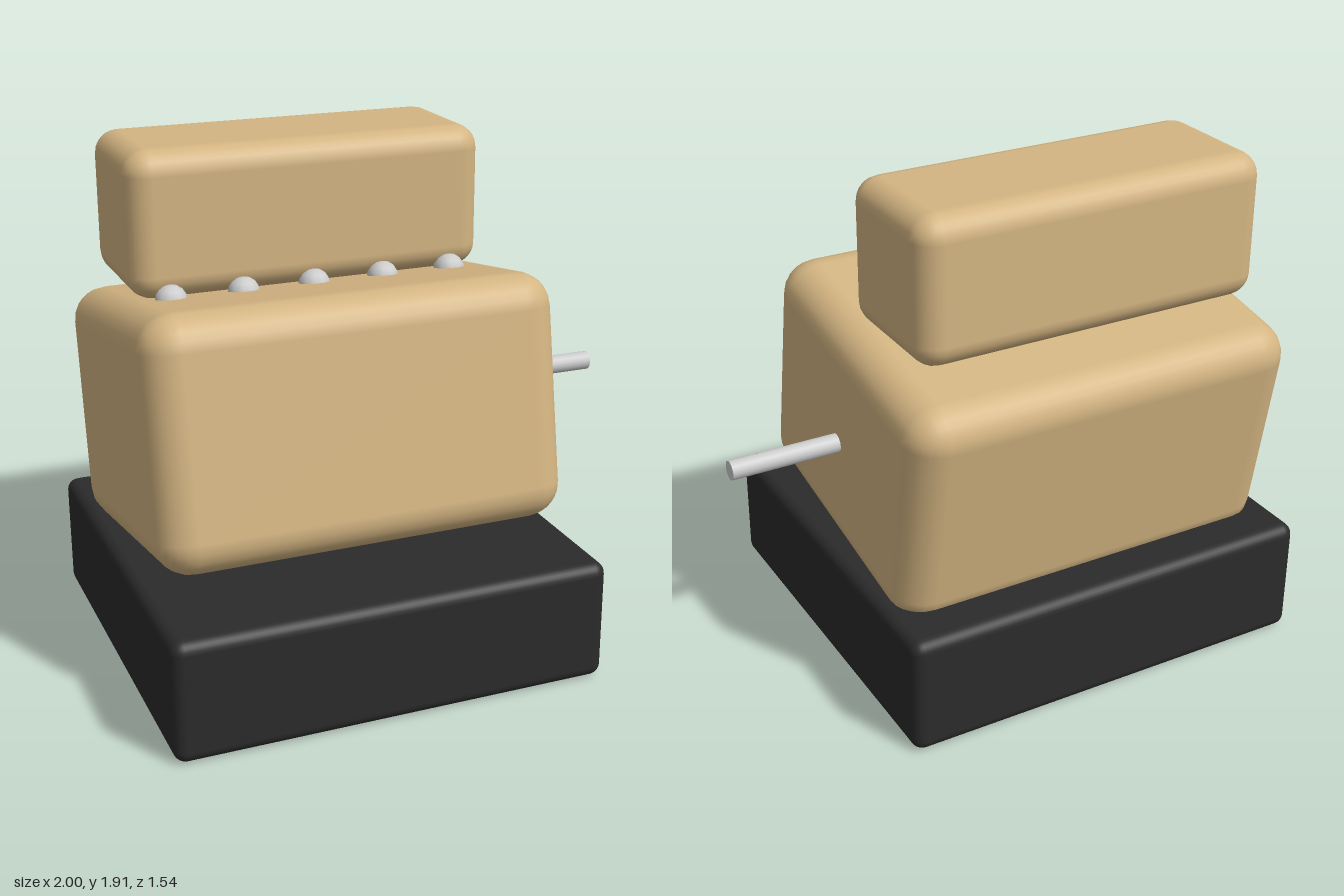
import * as THREE from 'three';
import { RoundedBoxGeometry } from 'three/addons/geometries/RoundedBoxGeometry.js';

function material(name, color) {
  const m = new THREE.MeshStandardMaterial({ color });
  m.name = name;
  return m;
}

export function createModel() {
  const group = new THREE.Group();
  const tan = material('tan', 0xd4b582);
  const black = material('black', 0x2b2b2b);
  const metal = material('light metal', 0xcccccc);
  const centreX = -0.183;

  function add(name, geometry, mat, x, y, z) {
    const mesh = new THREE.Mesh(geometry, mat);
    mesh.name = name;
    mesh.position.set(x, y, z);
    group.add(mesh);
    return mesh;
  }

  // Flat pedestal
  add('base', new RoundedBoxGeometry(1.634, 0.457, 1.545, 3, 0.045), black, centreX, 0.2285, 0);

  // Main block, leaning back and sunk slightly into the base
  const body = add('body', new RoundedBoxGeometry(1.545, 0.914, 1.177, 3, 0.13), tan, centreX, 0.914, -0.088);
  body.rotation.x = THREE.MathUtils.degToRad(-10);

  // Upper block
  add('upperBlock', new RoundedBoxGeometry(1.362, 0.542, 0.542, 3, 0.09), tan, centreX, 1.64, -0.321);

  // Row of studs between the blocks
  const stud = new THREE.SphereGeometry(0.061, 10, 8);
  for (let i = -2; i <= 2; i++) {
    add('stud', stud, metal, centreX + i * 0.272, 1.375, -0.046);
  }

  // Side rod
  const rod = add('sideRod', new THREE.CylinderGeometry(0.036, 0.036, 0.5, 16), metal, 0.75, 0.914, -0.09);
  rod.rotation.z = Math.PI / 2;

  return group;
}
